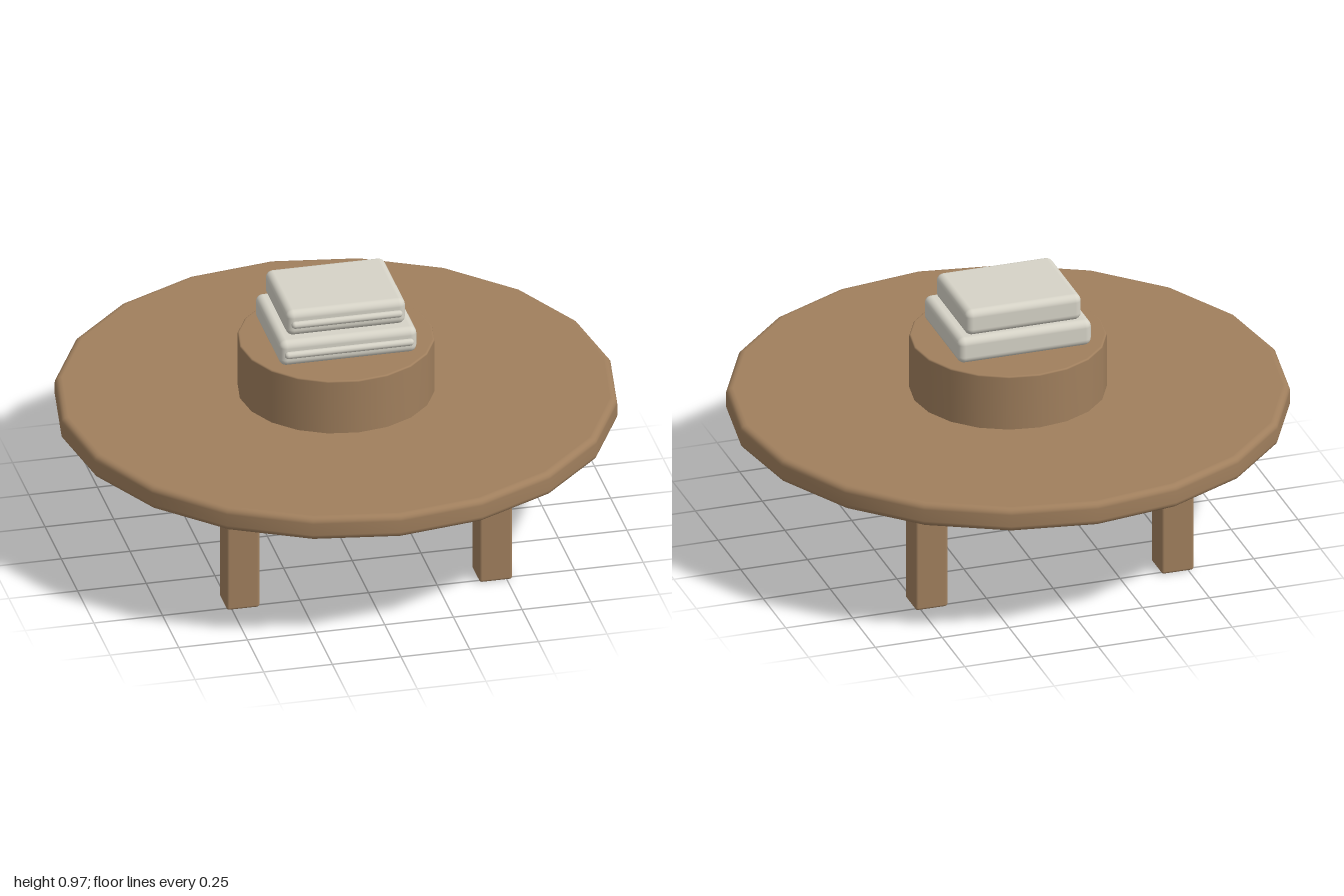
import * as THREE from 'three';
import { RoundedBoxGeometry } from 'three/addons/geometries/RoundedBoxGeometry.js';

const wood = new THREE.MeshStandardMaterial({ color: 0xa07f5d });
wood.name = 'wood';
const fabric = new THREE.MeshStandardMaterial({ color: 0xd6d3c7 });
fabric.name = 'paleFabric';

// Round slab with softened rims; extra points beside each rim keep the flats flat.
function roundSlab(name, radius, y0, y1, bevel) {
  const pts = [new THREE.Vector2(0, y0), new THREE.Vector2(radius - bevel - 0.004, y0)];
  const steps = 4;
  for (const [cy, start] of [[y0 + bevel, -Math.PI / 2], [y1 - bevel, 0]]) {
    for (let i = 0; i <= steps; i++) {
      const a = start + (i / steps) * Math.PI / 2;
      pts.push(new THREE.Vector2(radius - bevel + Math.cos(a) * bevel, cy + Math.sin(a) * bevel));
    }
  }
  pts.push(new THREE.Vector2(radius - bevel - 0.004, y1), new THREE.Vector2(0, y1));
  const mesh = new THREE.Mesh(new THREE.LatheGeometry(pts, 20), wood);
  mesh.name = name;
  return mesh;
}

function roundedBox(name, [w, h, d], [x, y, z], radius, material) {
  const mesh = new THREE.Mesh(new RoundedBoxGeometry(w, h, d, 4, radius), material);
  mesh.position.set(x, y, z);
  mesh.name = name;
  return mesh;
}

// Cushion with a rounded piping strip along its front edge.
function cushion(name, width, depth, y, z) {
  const group = new THREE.Group();
  group.name = name;
  group.add(roundedBox(name + 'Pad', [width, 0.098, depth], [0, y, z], 0.026, fabric));
  const r = 0.013;
  const piping = new THREE.Mesh(new THREE.CapsuleGeometry(r, width - 0.03 - 2 * r, 4, 12), fabric);
  piping.name = name + 'Piping';
  piping.rotation.z = Math.PI / 2;
  piping.position.set(0, y, z + depth / 2 + 0.004);
  group.add(piping);
  return group;
}

export function createModel() {
  const model = new THREE.Group();
  model.name = 'roundTable';

  // Table top and raised centre
  model.add(roundSlab('tableTop', 1, 0.476, 0.565, 0.022));
  model.add(roundSlab('pedestal', 0.35, 0.555, 0.773, 0.006));

  // Four square legs
  for (const sx of [-1, 1]) {
    for (const sz of [-1, 1]) {
      const name = (sz > 0 ? 'front' : 'back') + (sx > 0 ? 'Left' : 'Right') + 'Leg';
      model.add(roundedBox(name, [0.12, 0.5, 0.12], [sx * 0.46, 0.25, sz * 0.46], 0.01, wood));
    }
  }

  // Stacked cushions
  model.add(cushion('lowerCushion', 0.5, 0.4, 0.826, 0.002));
  model.add(cushion('upperCushion', 0.434, 0.35, 0.925, -0.009));
  return model;
}
